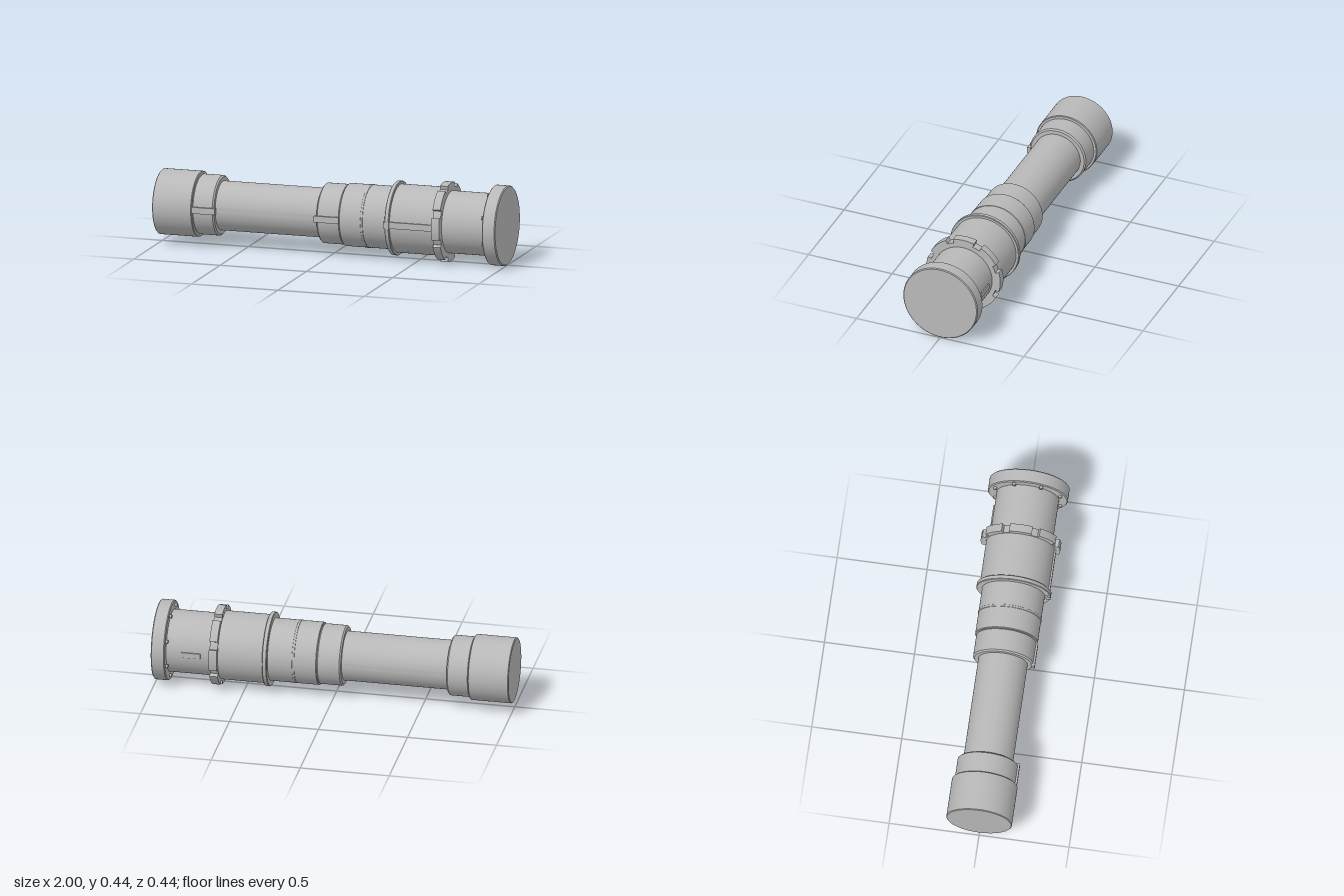
import * as THREE from 'three';
import { toCreasedNormals } from 'three/addons/utils/BufferGeometryUtils.js';

const AXIS_Y = 0.222;

export function createModel() {
  const group = new THREE.Group();
  const body = new THREE.Group();
  body.position.y = AXIS_Y;
  group.add(body);
  const metal = new THREE.MeshStandardMaterial({ color: 0xb8b8b8 });
  metal.name = 'plain grey';

  const add = (name, geometry) => {
    const mesh = new THREE.Mesh(geometry, metal);
    mesh.name = name;
    body.add(mesh);
    return mesh;
  };

  // Closed round section along x with chamfered rims
  const section = (name, x0, x1, r, c = 0.004) => {
    const points = [[0, x0], [r - c, x0], [r, x0 + c], [r, x1 - c], [r - c, x1], [0, x1]]
      .map(([a, b]) => new THREE.Vector2(a, b));
    const geometry = new THREE.LatheGeometry(points, 96).rotateZ(-Math.PI / 2);
    return add(name, toCreasedNormals(geometry, 0.5));
  };

  section('endCap', -1, -0.772, 0.182);
  section('endCollar', -0.775, -0.648, 0.167, 0.008);
  section('barrel', -0.66, -0.04, 0.137, 0.002);
  section('middleCollar', -0.055, 0.082, 0.167, 0.008);
  section('sleeve', 0.08, 0.36, 0.174, 0.003);
  section('sleeveRidge', 0.204, 0.217, 0.176, 0.001);
  section('flange', 0.354, 0.379, 0.206, 0.003);
  section('mainSleeve', 0.375, 0.635, 0.19, 0.003);
  section('neck', 0.63, 0.93, 0.173, 0.002);
  section('headDisc', 0.923, 1, 0.222, 0.005);

  // Notched locking ring
  const teeth = 8;
  const half = THREE.MathUtils.degToRad(16.5);
  const step = (Math.PI * 2) / teeth;
  const ring = new THREE.Shape();
  for (let i = 0; i < teeth; i++) {
    const a = i * step;
    ring.absarc(0, 0, 0.221, a - half, a + half, false);
    ring.absarc(0, 0, 0.199, a + half, a + step - half, false);
  }
  ring.closePath();
  const ringGeometry = new THREE.ExtrudeGeometry(ring, { depth: 0.045, bevelEnabled: false, curveSegments: 10 });
  ringGeometry.rotateY(Math.PI / 2);
  add('lockingRing', toCreasedNormals(ringGeometry, 0.5)).position.x = 0.63;

  // Raised alignment keys along the front, and a small pad on the back
  const key = (name, x0, x1, z0, z1, h) => {
    const mesh = add(name, new THREE.BoxGeometry(x1 - x0, h, z1 - z0));
    mesh.position.set((x0 + x1) / 2, 0, (z0 + z1) / 2);
  };
  key('endKey', -0.774, -0.638, 0.156, 0.177, 0.036);
  key('middleKey', -0.064, 0.078, 0.156, 0.177, 0.036);
  key('flangeKey', 0.346, 0.38, 0.165, 0.207, 0.036);
  key('mainKey', 0.375, 0.632, 0.175, 0.199, 0.036);
  key('backPad', 0.73, 0.84, -0.179, -0.16, 0.03);

  // Screws behind the head disc
  for (let i = 0; i < 8; i++) {
    const a = (i + 0.5) * Math.PI / 4;
    const screw = add('screw', new THREE.CylinderGeometry(0.01, 0.01, 0.014, 16).rotateZ(Math.PI / 2));
    screw.position.set(0.917, Math.sin(a) * 0.195, Math.cos(a) * 0.195);
  }
  return group;
}
